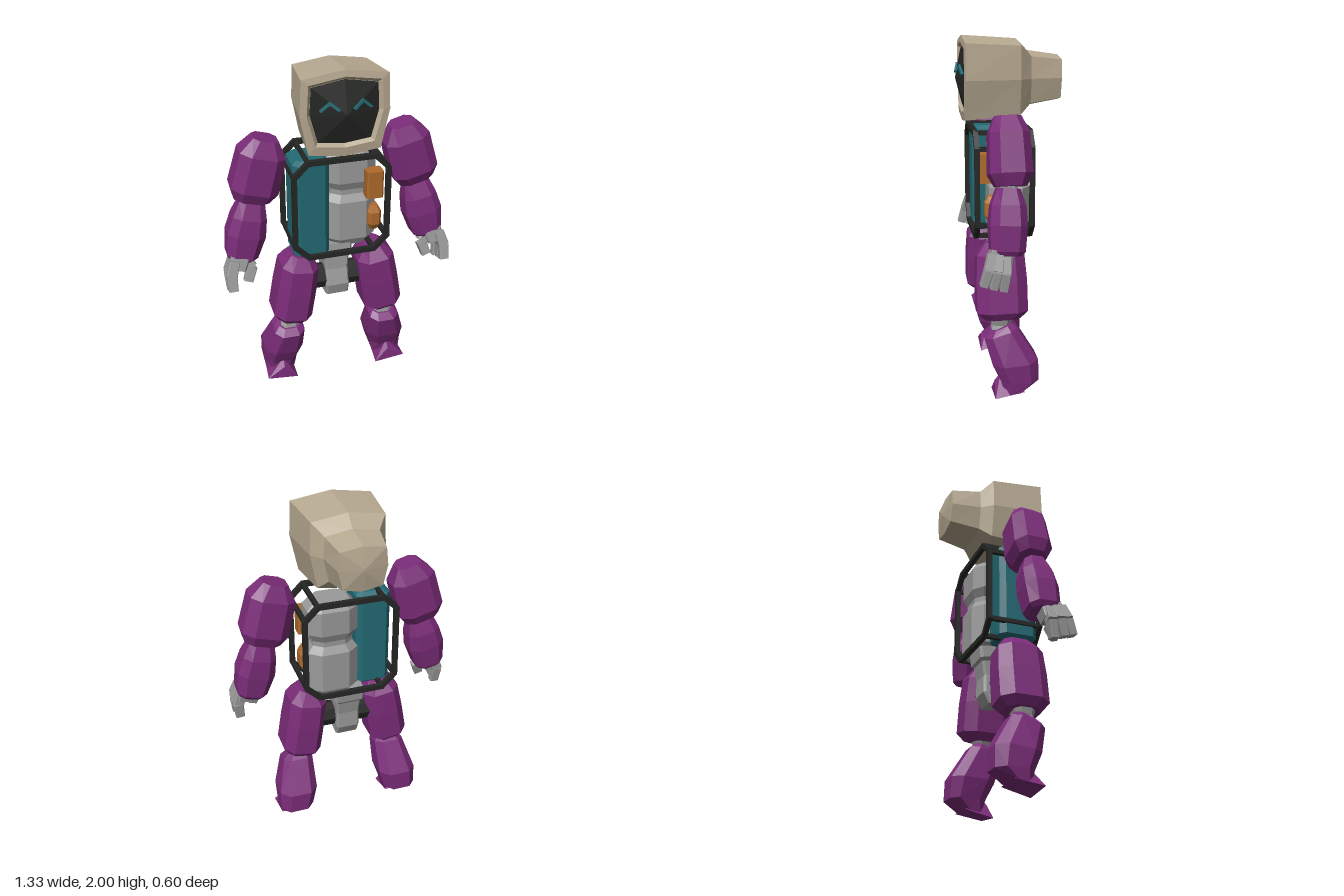
import * as THREE from 'three';
import { ConvexGeometry } from 'three/addons/geometries/ConvexGeometry.js';

const mat = (color) => new THREE.MeshStandardMaterial({ color, flatShading: true });
const purple = mat(0x7a2c78), grey = mat(0x9a9a9a), tan = mat(0xb8aa92);
const black = mat(0x242624), teal = mat(0x236a74), orange = mat(0xad6a2c);
const V = (x, y, z) => new THREE.Vector3(x, y, z);

function add(parent, name, geometry, material) {
  const mesh = new THREE.Mesh(geometry, material);
  mesh.name = name;
  parent.add(mesh);
  return mesh;
}

// Skin a list of rings, cap both ends and turn all faces outward
function loft(rings) {
  const tris = [], n = rings[0].length;
  for (let r = 0; r < rings.length - 1; r++) {
    for (let i = 0; i < n; i++) {
      const j = (i + 1) % n, a = rings[r], b = rings[r + 1];
      tris.push([a[i], b[j], b[i]], [a[i], a[j], b[j]]);
    }
  }
  [rings[0], rings[rings.length - 1]].forEach((ring, end) => {
    const c = ring.reduce((s, p) => s.add(p), V(0, 0, 0)).divideScalar(n);
    for (let i = 0; i < n; i++) {
      const j = (i + 1) % n;
      tris.push(end ? [c, ring[i], ring[j]] : [c, ring[j], ring[i]]);
    }
  });
  const volume = tris.reduce((s, [a, b, c]) => s + a.dot(b.clone().cross(c)), 0);
  if (volume < 0) tris.forEach((t) => t.reverse());
  const geometry = new THREE.BufferGeometry().setFromPoints(tris.flat());
  geometry.computeVertexNormals();
  return geometry;
}

// Unit chamfered square
const octagon = (c) => [[1, c], [c, 1], [-c, 1], [-1, c], [-1, -c], [-c, -1], [c, -1], [1, -c]];

// Faceted segment from a to b; sections are [t, half width, half depth]
function segment(a, b, sections, c = 0.55) {
  const d = b.clone().sub(a).normalize();
  const u = V(1, 0, 0).addScaledVector(d, -d.x).normalize();
  const w = u.clone().cross(d);
  return loft(sections.map(([t, hx, hz]) => octagon(c).map(([p, q]) =>
    a.clone().lerp(b, t).addScaledVector(u, p * hx).addScaledVector(w, q * hz))));
}

// Eight-point head outline at depth z
function headRing(z, top, topW, topY, midW, botW, botY, bottom) {
  const m = 1.77;
  return [[0, top], [topW, topY], [midW, m], [botW, botY], [0, bottom],
    [-botW, botY], [-midW, m], [-topW, topY]].map(([x, y]) => V(x, y, z));
}

function makeHead() {
  const head = new THREE.Group();
  head.name = 'head';
  add(head, 'helmet', loft([
    headRing(-0.3, 1.78, 0.005, 1.775, 0.005, 0.005, 1.765, 1.76),
    headRing(-0.278, 1.89, 0.125, 1.87, 0.135, 0.11, 1.66, 1.64),
    headRing(-0.105, 1.915, 0.15, 1.89, 0.158, 0.13, 1.635, 1.61),
    headRing(-0.04, 1.98, 0.205, 1.95, 0.212, 0.175, 1.575, 1.55),
    headRing(0.262, 2.0, 0.232, 1.965, 0.242, 0.197, 1.555, 1.53),
    headRing(0.268, 1.965, 0.195, 1.935, 0.205, 0.16, 1.6, 1.58),
    headRing(0.245, 1.947, 0.178, 1.917, 0.186, 0.145, 1.615, 1.598),
  ]), tan);
  add(head, 'screen', loft([
    headRing(0.235, 1.945, 0.177, 1.915, 0.185, 0.144, 1.617, 1.6),
    headRing(0.252, 1.945, 0.177, 1.915, 0.185, 0.144, 1.617, 1.6),
    headRing(0.298, 1.775, 0.004, 1.773, 0.004, 0.004, 1.767, 1.765),
  ]), black);
  // Chevron eyes
  const chevron = new THREE.Shape([[-0.055, -0.022], [-0.045, -0.032], [0, 0.004],
    [0.045, -0.032], [0.055, -0.022], [0, 0.024]].map(([x, y]) => new THREE.Vector2(x, y)));
  for (const s of [1, -1]) {
    const eye = add(head, s > 0 ? 'leftEye' : 'rightEye',
      new THREE.ExtrudeGeometry(chevron, { depth: 0.02, bevelEnabled: false }), teal);
    eye.position.set(s * 0.085, 1.822, 0.268);
    eye.rotation.set(-0.1, s * 0.2, 0);
  }
  return head;
}

function makeTorso() {
  const torso = new THREE.Group();
  torso.name = 'torso';
  // Two octagonal hoops joined by rods at every corner
  const hoop = (e) => {
    const x = 0.28 - e, y = 0.305 - e, c = 0.085 - e * 0.6;
    return [[x, y - c], [x - c, y], [c - x, y], [-x, y - c], [-x, c - y], [c - x, -y], [x - c, -y], [x, c - y]]
      .map(([px, py]) => new THREE.Vector2(px, py + 1.195));
  };
  const shape = new THREE.Shape(hoop(0));
  shape.holes.push(new THREE.Path(hoop(0.028)));
  for (const [name, z] of [['frontHoop', 0.196], ['backHoop', -0.107]]) {
    add(torso, name, new THREE.ExtrudeGeometry(shape, { depth: 0.028, bevelEnabled: false }), black)
      .position.z = z;
  }
  for (const p of hoop(0.015)) {
    add(torso, 'frameRod', new THREE.BoxGeometry(0.024, 0.024, 0.3), black).position.set(p.x, p.y, 0.06);
  }
  // Tall teal tank on the right
  add(torso, 'tank', segment(V(-0.163, 1.485, 0.09), V(-0.163, 0.89, 0.09),
    [[0, 0.075, 0.085], [0.035, 0.102, 0.11], [0.965, 0.102, 0.11], [1, 0.075, 0.085]], 0.72), teal);
  // Two-lobed grey core
  add(torso, 'core', segment(V(0.09, 1.485, 0.02), V(0.09, 0.89, 0.02),
    [[0, 0.1, 0.08], [0.08, 0.145, 0.11], [0.32, 0.145, 0.11], [0.4, 0.115, 0.09], [0.45, 0.115, 0.09],
      [0.52, 0.145, 0.115], [0.92, 0.145, 0.115], [1, 0.1, 0.09]]), grey);
  add(torso, 'upperBox', segment(V(0.2, 1.375, 0.155), V(0.2, 1.215, 0.155),
    [[0, 0.048, 0.04], [1, 0.048, 0.04]], 0.8), orange);
  add(torso, 'lowerBox', segment(V(0.215, 1.14, 0.11), V(0.215, 0.99, 0.11),
    [[0, 0.022, 0.035], [0.25, 0.04, 0.055], [0.75, 0.04, 0.055], [1, 0.022, 0.035]]), orange);
  // Pelvis and hip axle
  add(torso, 'pelvis', segment(V(0, 0.9, 0.02), V(0, 0.57, 0.06),
    [[0, 0.092, 0.1], [0.2, 0.09, 0.1], [0.25, 0.075, 0.09], [0.5, 0.068, 0.085], [0.8, 0.07, 0.1], [1, 0.068, 0.075]], 0.85), grey);
  add(torso, 'hipAxle', new THREE.CylinderGeometry(0.075, 0.075, 0.34, 8).rotateZ(Math.PI / 2), black)
    .position.set(0, 0.675, 0.06);
  return torso;
}

function makeArm(s) {
  const arm = new THREE.Group();
  arm.name = s > 0 ? 'leftArm' : 'rightArm';
  const P = (x, y, z) => V(s * x, y, z);
  add(arm, 'upperArm', segment(P(0.385, 1.6, 0.065), P(0.48, 1.25, 0.06),
    [[0, 0.07, 0.07], [0.24, 0.128, 0.105], [0.82, 0.133, 0.113], [1, 0.1, 0.08]]), purple);
  add(arm, 'elbow', segment(P(0.46, 1.29, 0.07), P(0.485, 1.19, 0.07),
    [[0, 0.065, 0.055], [0.5, 0.047, 0.045], [1, 0.065, 0.055]]), grey);
  add(arm, 'forearm', segment(P(0.478, 1.24, 0.075), P(0.558, 0.9, 0.09),
    [[0, 0.072, 0.06], [0.25, 0.095, 0.09], [0.55, 0.108, 0.098], [0.93, 0.088, 0.09], [1, 0.07, 0.07]]), purple);
  add(arm, 'palm', segment(P(0.57, 0.93, 0.12), P(0.59, 0.86, 0.135),
    [[0, 0.055, 0.06], [1, 0.045, 0.06]], 0.8), grey);
  // Fingers and thumb: [root, knuckle, tip]
  const digits = [
    ['finger', P(0.605, 0.93, 0.175), P(0.63, 0.85, 0.195), P(0.628, 0.765, 0.222)],
    ['finger', P(0.605, 0.92, 0.14), P(0.635, 0.84, 0.15), P(0.63, 0.75, 0.172)],
    ['finger', P(0.605, 0.91, 0.1), P(0.63, 0.83, 0.105), P(0.622, 0.735, 0.118)],
    ['thumb', P(0.545, 0.91, 0.14), P(0.507, 0.865, 0.15), P(0.535, 0.785, 0.17)],
  ];
  for (const [name, root, knuckle, tip] of digits) {
    add(arm, name, segment(root, knuckle, [[0, 0.027, 0.022], [1, 0.031, 0.025]], 0.85), grey);
    add(arm, name + 'Tip', segment(knuckle, tip, [[0, 0.029, 0.024], [1, 0.026, 0.021]], 0.85), grey);
  }
  return arm;
}

function makeLeg(s) {
  const leg = new THREE.Group();
  leg.name = s > 0 ? 'leftLeg' : 'rightLeg';
  const P = (x, y, z) => V(s * x, y, z);
  add(leg, 'thigh', segment(P(0.215, 0.875, 0.085), P(0.285, 0.445, 0.08),
    [[0, 0.055, 0.08], [0.16, 0.108, 0.132], [0.5, 0.114, 0.142], [0.9, 0.115, 0.142], [1, 0.08, 0.1]]), purple);
  add(leg, 'knee', segment(P(0.28, 0.48, 0.085), P(0.297, 0.34, 0.09),
    [[0, 0.075, 0.07], [0.5, 0.05, 0.05], [1, 0.07, 0.06]]), grey);
  // Shin rings: [centre x, half width, front z, front y, back z, back y]
  const shin = [[0.293, 0.065, 0.15, 0.385, 0.03, 0.43], [0.298, 0.09, 0.187, 0.35, 0, 0.405],
    [0.325, 0.116, 0.145, 0.2, -0.112, 0.22], [0.34, 0.1, 0.1, 0.105, -0.115, 0.1],
    [0.345, 0.088, 0.08, 0.03, -0.03, 0.045]];
  add(leg, 'shin', loft(shin.map(([cx, hw, fz, fy, bz, by]) => octagon(0.55).map(([p, q]) => {
    const k = (q + 1) / 2;
    return P(cx + p * hw, by + (fy - by) * k, bz + (fz - bz) * k);
  }))), purple);
  // Wedge toe with a raised ridge
  add(leg, 'toe', new ConvexGeometry([P(0.335, 0.13, 0.095), P(0.335, 0.085, 0.13), P(0.255, 0, 0.137),
    P(0.44, 0.02, 0.137), P(0.262, 0.04, -0.03), P(0.43, 0.045, -0.03)]), purple);
  return leg;
}

export function createModel() {
  const model = new THREE.Group();
  model.name = 'robot';
  model.add(makeHead(), makeTorso());
  for (const s of [1, -1]) model.add(makeArm(s), makeLeg(s));
  return model;
}
